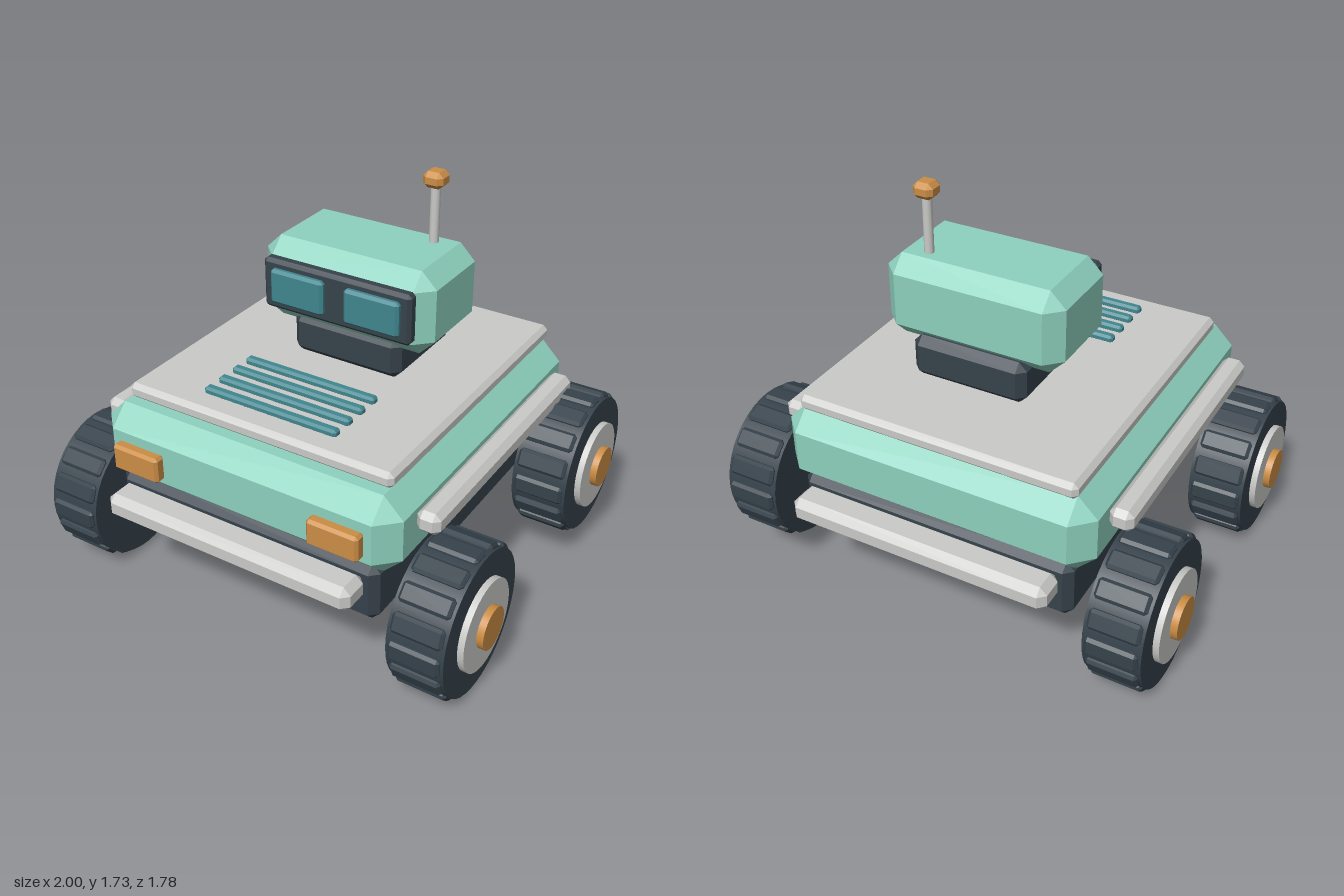
import * as THREE from 'three';
import { ConvexGeometry } from 'three/addons/geometries/ConvexGeometry.js';

function material(name, color) {
  const m = new THREE.MeshStandardMaterial({ color });
  m.name = name;
  return m;
}

// Box with every edge chamfered by c
function chamferBox(w, h, d, c) {
  const half = [w / 2, h / 2, d / 2];
  const points = [];
  for (const sx of [-1, 1]) for (const sy of [-1, 1]) for (const sz of [-1, 1]) {
    for (let full = 0; full < 3; full++) {
      const p = [sx, sy, sz].map((s, i) => s * (half[i] - (i === full ? 0 : c)));
      points.push(new THREE.Vector3(...p));
    }
  }
  return new ConvexGeometry(points);
}

export function createModel() {
  const mint = material('mint paint', 0x8ed1be);
  const grey = material('light grey metal', 0xcacbc8);
  const dark = material('dark slate', 0x36424b);
  const orange = material('orange', 0xcb8d45);
  const teal = material('teal glass', 0x41868f);

  const model = new THREE.Group();
  model.name = 'rover';

  function add(parent, name, geometry, mat, x, y, z) {
    const mesh = new THREE.Mesh(geometry, mat);
    mesh.name = name;
    mesh.position.set(x, y, z);
    parent.add(mesh);
    return mesh;
  }
  // Chamfered block given by its lower and upper limits on each axis
  function block(parent, name, mat, [x0, x1], [y0, y1], [z0, z1], c) {
    return add(parent, name, chamferBox(x1 - x0, y1 - y0, z1 - z0, c), mat,
      (x0 + x1) / 2, (y0 + y1) / 2, (z0 + z1) / 2);
  }

  // Hull
  block(model, 'chassis', dark, [-0.615, 0.615], [0.31, 0.57], [-0.75, 0.75], 0.035);
  block(model, 'body', mint, [-0.69, 0.69], [0.525, 0.872], [-0.772, 0.772], 0.085);
  block(model, 'deckPlate', grey, [-0.615, 0.615], [0.865, 0.935], [-0.722, 0.65], 0.02);

  for (const s of [-1, 1]) {
    const bumper = chamferBox(1.15, 0.11, 0.145, 0.03);
    add(model, s > 0 ? 'frontBumper' : 'rearBumper', bumper, grey, 0, 0.49, s * 0.818);
    const rail = chamferBox(0.1, 0.095, 1.22, 0.025);
    add(model, s > 0 ? 'leftRail' : 'rightRail', rail, grey, s * 0.738, 0.74, 0);
    const lamp = chamferBox(0.225, 0.115, 0.055, 0.012);
    add(model, s > 0 ? 'leftHeadlight' : 'rightHeadlight', lamp, orange, s * 0.462, 0.69, 0.793);
  }

  // Deck vents
  for (let i = 0; i < 4; i++) {
    add(model, 'vent', chamferBox(0.62, 0.035, 0.042, 0.01), teal, 0, 0.944, 0.25 + i * 0.092);
  }

  // Sensor head, set slightly off centre
  const head = new THREE.Group();
  head.name = 'head';
  model.add(head);
  block(head, 'neck', dark, [-0.21, 0.3], [0.93, 1.115], [-0.375, 0.068], 0.035);
  block(head, 'headShell', mint, [-0.348, 0.443], [1.073, 1.433], [-0.357, 0.097], 0.068);
  block(head, 'visor', dark, [-0.297, 0.388], [1.15, 1.37], [0.08, 0.138], 0.015);
  for (const x of [-0.125, 0.222]) {
    add(head, 'eye', chamferBox(0.25, 0.15, 0.05, 0.012), teal, x, 1.262, 0.138);
  }

  // Antenna
  add(head, 'antennaMast', new THREE.CylinderGeometry(0.02, 0.02, 0.28, 12), grey, 0.28, 1.55, -0.238);
  add(head, 'antennaTip', chamferBox(0.09, 0.068, 0.09, 0.02), orange, 0.28, 1.702, -0.238);

  // Wheels: tyre with tread pads, rim disc and hub cap on the outer side
  function disc(radius, x0, x1) {
    const g = new THREE.CylinderGeometry(radius, radius, x1 - x0, 40);
    g.rotateZ(Math.PI / 2);
    g.translate((x0 + x1) / 2, 0, 0);
    return g;
  }
  const tyreGeometry = disc(0.299, -0.12, 0.12);
  const rimGeometry = disc(0.19, 0.1, 0.146);
  const hubGeometry = disc(0.088, 0.1, 0.175);
  const padGeometry = chamferBox(0.215, 0.05, 0.082, 0.012);
  const treads = 16;

  function wheel(name, side, y, z) {
    const group = new THREE.Group();
    group.name = name;
    group.position.set(side * 0.825, y, z);
    if (side < 0) group.rotation.y = Math.PI;
    add(group, 'tyre', tyreGeometry, dark, 0, 0, 0);
    add(group, 'rim', rimGeometry, grey, 0, 0, 0);
    add(group, 'hubCap', hubGeometry, orange, 0, 0, 0);
    for (let i = 0; i < treads; i++) {
      const a = (i / treads) * Math.PI * 2;
      const r = 0.29;
      const pad = add(group, 'treadPad', padGeometry, dark, 0, r * Math.cos(a), r * Math.sin(a));
      pad.rotation.x = a;
    }
    model.add(group);
  }
  wheel('frontLeftWheel', 1, 0.317, 0.53);
  wheel('frontRightWheel', -1, 0.317, 0.53);
  wheel('rearLeftWheel', 1, 0.43, -0.53); // raised on its suspension
  wheel('rearRightWheel', -1, 0.317, -0.53);

  return model;
}
